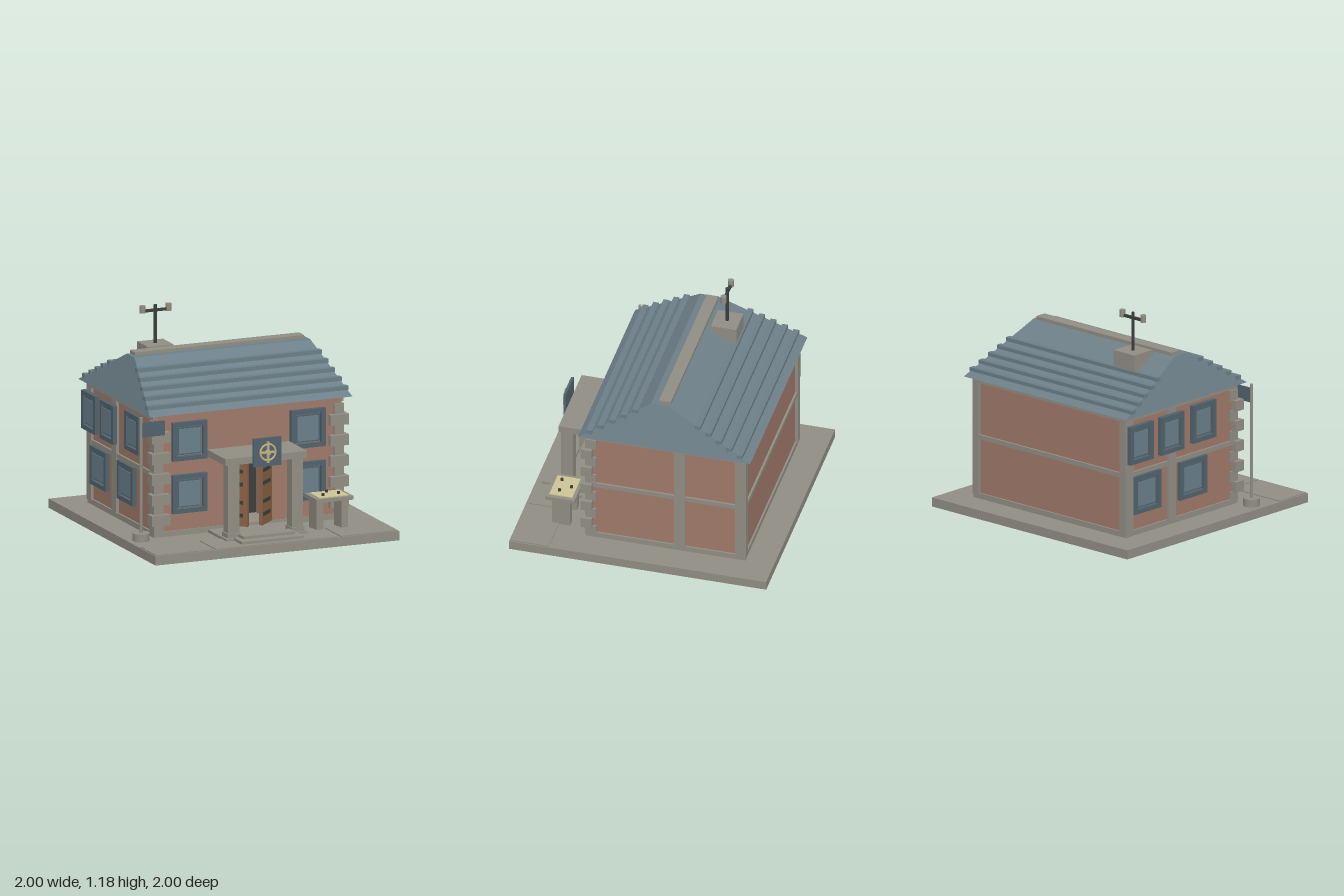
import * as THREE from 'three';

const mat = (name, color) => Object.assign(new THREE.MeshStandardMaterial({ color }), { name });

export function createModel() {
  const brick = mat('brick', 0xa07a6a), stone = mat('stone', 0x918e84), slate = mat('roof slate', 0x6d7f88);
  const frame = mat('window frame', 0x52636d), glass = mat('glass', 0x6a7f8b), wood = mat('wood', 0x8a6244);
  const iron = mat('iron', 0x3c3e3e), paper = mat('parchment', 0xcfc496), brass = mat('brass', 0xc2b280);

  const model = new THREE.Group();
  model.name = 'townHouse';
  const house = new THREE.Group();
  house.name = 'house';
  house.rotation.y = Math.PI / 4; // the house stands diagonally
  model.add(house);

  const add = (name, geo, m, parent = house) => {
    const mesh = new THREE.Mesh(geo, m);
    mesh.name = name;
    parent.add(mesh);
    return mesh;
  };
  // box given by its extents on each axis
  const box = (name, m, x0, x1, y0, y1, z0, z1, parent = house) => {
    const mesh = add(name, new THREE.BoxGeometry(x1 - x0, y1 - y0, z1 - z0), m, parent);
    mesh.position.set((x0 + x1) / 2, (y0 + y1) / 2, (z0 + z1) / 2);
    return mesh;
  };
  const rod = (name, m, r, x, y0, y1, z, sides = 12) => {
    const mesh = add(name, new THREE.CylinderGeometry(r, r, y1 - y0, sides), m);
    mesh.position.set(x, (y0 + y1) / 2, z);
    return mesh;
  };

  // ground slab and front paving
  box('groundSlab', stone, -0.707, 0.707, 0, 0.05, -0.707, 0.707);
  for (const [a, b] of [[-0.7, -0.37], [-0.355, 0.355], [0.37, 0.7]])
    box('pavingSlab', stone, a, b, 0.045, 0.055, 0.49, 0.7);

  // walls, with a recess for the doorway
  box('plinth', stone, -0.55, 0.55, 0.05, 0.08, -0.55, 0.325);
  box('rearWalls', brick, -0.54, 0.54, 0.07, 0.72, -0.54, 0.12);
  for (const s of [-1, 1])
    box('frontWall', brick, s < 0 ? -0.54 : 0.13, s < 0 ? -0.13 : 0.54, 0.07, 0.72, 0.12, 0.32);
  box('wallOverDoor', brick, -0.13, 0.13, 0.45, 0.72, 0.12, 0.316);
  box('darkHall', iron, -0.13, 0.13, 0.08, 0.45, 0.12, 0.125);

  // wall framing on the sides and rear
  for (const s of [-1, 1]) {
    for (const z of [-0.525, -0.19])
      box('sidePost', stone, s * 0.54 - 0.015, s * 0.54 + 0.015, 0.07, 0.72, z - 0.03, z + 0.03);
    box('sideRail', stone, s * 0.54 - 0.012, s * 0.54 + 0.012, 0.38, 0.405, -0.54, 0.32);
    box('sideTopBeam', stone, s * 0.54 - 0.013, s * 0.54 + 0.013, 0.69, 0.72, -0.54, 0.32);
    box('rearPost', stone, s * 0.53 - 0.02, s * 0.53 + 0.02, 0.07, 0.72, -0.555, -0.52);
  }
  box('rearRail', stone, -0.54, 0.54, 0.38, 0.405, -0.552, -0.53);
  box('rearTopBeam', stone, -0.54, 0.54, 0.69, 0.72, -0.552, -0.53);

  // alternating corner stones
  for (const s of [-1, 1])
    for (let i = 0; i < 11; i++) {
      const big = i % 2 === 1, y = 0.09 + i * 0.0563, out = big ? 0.572 : 0.55, inn = big ? 0.465 : 0.495;
      box('cornerStone', stone, s < 0 ? -out : inn, s < 0 ? -inn : out, y - 0.029, y + 0.029,
        big ? 0.29 : 0.27, big ? 0.35 : 0.33);
    }

  // windows: frame border, pane and raised inner sash
  const makeWindow = (w, h) => {
    const g = new THREE.Group();
    g.name = 'window';
    for (const s of [-1, 1]) {
      box('frameSide', frame, s * (w / 2 - 0.012) - 0.012, s * (w / 2 - 0.012) + 0.012, -h / 2, h / 2, 0, 0.025, g);
      box('frameRail', frame, -w / 2, w / 2, s * (h / 2 - 0.012) - 0.012, s * (h / 2 - 0.012) + 0.012, 0, 0.025, g);
    }
    box('sash', frame, -w / 2 + 0.03, w / 2 - 0.03, -h / 2 + 0.03, h / 2 - 0.03, 0, 0.014, g);
    box('pane', glass, -w / 2 + 0.038, w / 2 - 0.038, -h / 2 + 0.038, h / 2 - 0.038, 0.01, 0.018, g);
    house.add(g);
    return g;
  };
  for (const x of [-0.345, 0.34])
    for (const y of [0.278, 0.565]) makeWindow(0.2, 0.21).position.set(x, y, 0.318);
  for (const [z, y, out, w] of [[-0.39, 0.272, 0.538, 0.21], [-0.03, 0.272, 0.538, 0.21],
    [-0.46, 0.565, 0.562, 0.18], [-0.22, 0.565, 0.562, 0.18], [0.055, 0.565, 0.538, 0.18]]) {
    const g = makeWindow(w, 0.21);
    g.position.set(-out, y, z);
    g.rotation.y = -Math.PI / 2;
  }

  // hipped roof: a box drawn in at the top
  const roofGeo = new THREE.BoxGeometry(2, 2, 2), p = roofGeo.attributes.position;
  for (let i = 0; i < p.count; i++) {
    const top = p.getY(i) > 0, front = p.getZ(i) > 0;
    p.setXYZ(i, p.getX(i) * (top ? 0.51 : 0.587), top ? 0.955 : 0.72,
      front ? (top ? -0.02 : 0.36) : (top ? -0.12 : -0.587));
  }
  roofGeo.computeVertexNormals();
  add('roof', roofGeo, slate);
  box('ridgeCap', stone, -0.49, 0.49, 0.94, 0.972, -0.125, -0.06);

  // slate courses on both slopes
  for (const [z0, z1] of [[0.36, -0.02], [-0.587, -0.12]])
    for (let i = 1; i <= 5; i++) {
      const t = (i * 0.06) / Math.abs(z1 - z0), half = 0.595 - 0.077 * t;
      const y = 0.72 + 0.235 * t, z = z0 + (z1 - z0) * t;
      box('slateCourse', slate, -half, half, y - 0.01, y + 0.012, z - 0.016, z + 0.016);
    }

  // chimney block and mast
  box('chimneyBlock', stone, -0.375, -0.225, 0.84, 0.97, -0.293, -0.153);
  rod('mast', iron, 0.009, -0.3, 0.96, 1.18, -0.223);
  box('mastCrossbar', iron, -0.385, -0.215, 1.143, 1.157, -0.23, -0.216);
  for (const s of [-1, 1]) rod('mastCup', stone, 0.016, -0.3 + s * 0.075, 1.14, 1.18, -0.223);

  // porch with steps
  box('porchFloor', stone, -0.235, 0.235, 0.05, 0.066, 0.32, 0.57);
  box('step', stone, -0.19, 0.17, 0.05, 0.07, 0.56, 0.67);
  box('upperStep', stone, -0.16, 0.14, 0.05, 0.085, 0.55, 0.62);
  for (const s of [-1, 1]) {
    box('porchPost', stone, s * 0.185 - 0.032, s * 0.185 + 0.032, 0.06, 0.47, 0.487, 0.551);
    box('postFoot', stone, s * 0.185 - 0.038, s * 0.185 + 0.038, 0.05, 0.09, 0.481, 0.557);
  }
  box('porchRoof', stone, -0.237, 0.237, 0.465, 0.502, 0.315, 0.56);

  // emblem plate with a spoked ring
  box('emblemPlate', frame, -0.08, 0.08, 0.445, 0.6, 0.56, 0.575);
  add('emblemRing', new THREE.TorusGeometry(0.044, 0.006, 8, 28), brass).position.set(0, 0.522, 0.582);
  box('emblemSpoke', brass, -0.006, 0.006, 0.465, 0.58, 0.575, 0.588);
  box('emblemSpoke', brass, -0.044, 0.044, 0.517, 0.527, 0.575, 0.587);
  const hub = add('emblemHub', new THREE.CylinderGeometry(0.015, 0.015, 0.018, 12), brass);
  hub.rotation.x = Math.PI / 2;
  hub.position.set(0, 0.522, 0.583);

  // double doors standing ajar
  for (const s of [-1, 1]) {
    const door = new THREE.Group();
    door.name = 'door';
    door.position.set(s * 0.128, 0, 0.318);
    door.rotation.y = s * 0.75;
    house.add(door);
    const x0 = s < 0 ? 0 : -0.125;
    box('doorLeaf', wood, x0, x0 + 0.125, 0.08, 0.44, -0.01, 0.01, door);
    for (const y of [0.14, 0.21, 0.31, 0.38])
      box('hingeStrap', iron, x0 + 0.008, x0 + 0.1, y - 0.01, y + 0.01, -0.014, 0.014, door);
  }

  // map table
  box('tableTop', stone, 0.29, 0.505, 0.21, 0.23, 0.4, 0.563);
  for (const x of [0.325, 0.468]) box('tableLeg', stone, x - 0.02, x + 0.02, 0.05, 0.21, 0.43, 0.53);
  box('map', paper, 0.312, 0.483, 0.23, 0.235, 0.418, 0.545);
  for (const [x, z] of [[0.35, 0.51], [0.4, 0.445], [0.445, 0.5]]) rod('mapPin', iron, 0.008, x, 0.234, 0.248, z, 10);

  // flagpole
  rod('flagpoleBase', stone, 0.046, -0.632, 0.05, 0.092, 0.345, 20);
  rod('flagpole', stone, 0.009, -0.632, 0.09, 0.722, 0.345);
  box('flag', frame, -0.628, -0.5, 0.615, 0.695, 0.352, 0.36);

  return model;
}
